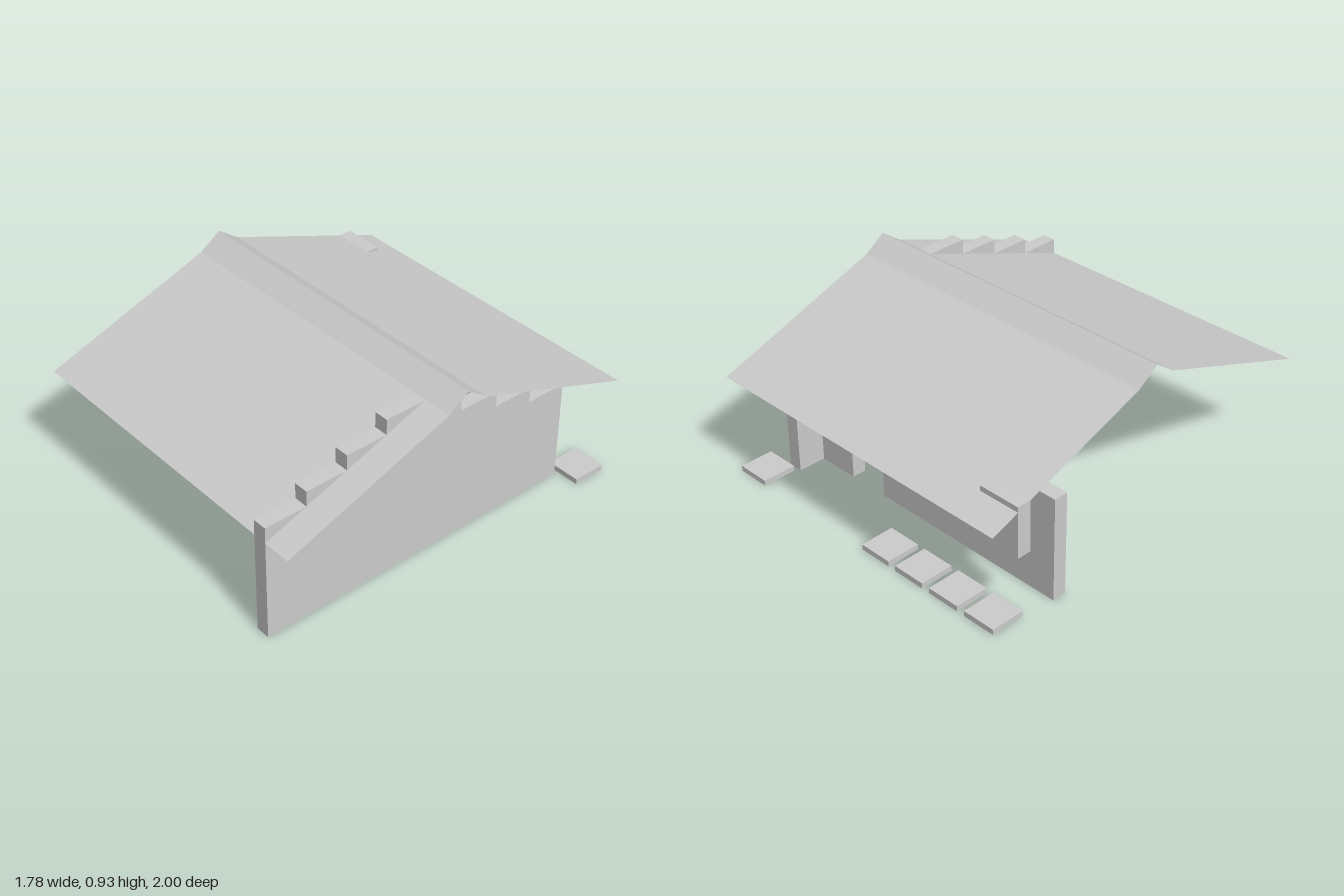
import * as THREE from 'three';

const U = 2 / 9;          // layout module
const T = U / 3;          // wall thickness
const EAVE = 0.535;       // wall and eave height
const STEP = 0.08;        // rise of each gable step

export function createModel() {
  const group = new THREE.Group();
  const grey = new THREE.MeshStandardMaterial({ color: 0xcccccc });
  grey.name = 'plain grey';
  const roofGrey = grey.clone();
  roofGrey.side = THREE.DoubleSide;

  const add = (name, geometry, material = grey) => {
    const mesh = new THREE.Mesh(geometry, material);
    mesh.name = name;
    group.add(mesh);
    return mesh;
  };
  // Box given by its limits
  const box = (name, x0, x1, y0, y1, z0, z1) =>
    add(name, new THREE.BoxGeometry(x1 - x0, y1 - y0, z1 - z0))
      .position.set((x0 + x1) / 2, (y0 + y1) / 2, (z0 + z1) / 2);

  // Thin roof: two slopes with a steeper ridge
  const profile = [[1, EAVE], [U / 2, 0.855], [0, 0.933], [-U / 2, 0.855], [-1, EAVE]];
  const half = 4 * U;
  const points = [];
  for (let i = 0; i < profile.length - 1; i++) {
    const [z0, y0] = profile[i];
    const [z1, y1] = profile[i + 1];
    const a = [-half, y0, z0], b = [half, y0, z0], c = [half, y1, z1], d = [-half, y1, z1];
    points.push(...a, ...b, ...c, ...a, ...c, ...d);
  }
  const roof = new THREE.BufferGeometry();
  roof.setAttribute('position', new THREE.Float32BufferAttribute(points, 3));
  roof.computeVertexNormals();
  add('roof', roof, roofGrey);

  // Stepped gable wall on the left side, running front to back
  const levels = [1, 2, 3, 4, 3, 2, 1, 0];
  const outline = new THREE.Shape();
  outline.moveTo(1, 0);
  levels.forEach((level, i) => {
    outline.lineTo(1 - i * U, EAVE + level * STEP);
    outline.lineTo(1 - (i + 1) * U, EAVE + level * STEP);
  });
  outline.lineTo(1 - levels.length * U, 0);
  const gable = new THREE.ExtrudeGeometry(outline, { depth: T, bevelEnabled: false });
  gable.rotateY(-Math.PI / 2);
  add('steppedGableWall', gable).position.x = 3 * U + T;

  // Back walls with a doorway between them
  const wallBack = -0.63;
  box('longBackWall', -half, U, 0, EAVE + 0.005, wallBack, wallBack + T);
  box('shortBackWall', 2 * U, 3 * U, 0, EAVE + 0.005, wallBack, wallBack + T);

  // Block hanging through the back eave
  box('eaveBlock', -half, -3 * U, 0.35, 0.615, -3.5 * U - T, -3.5 * U);

  // Stepping stones behind the house
  const s = 0.089;
  [3.5, -0.5, -1.5, -2.5, -3.5].forEach((k) =>
    box('steppingStone', k * U - s, k * U + s, 0, 0.028, -4 * U - s, -4 * U + s));

  return group;
}
